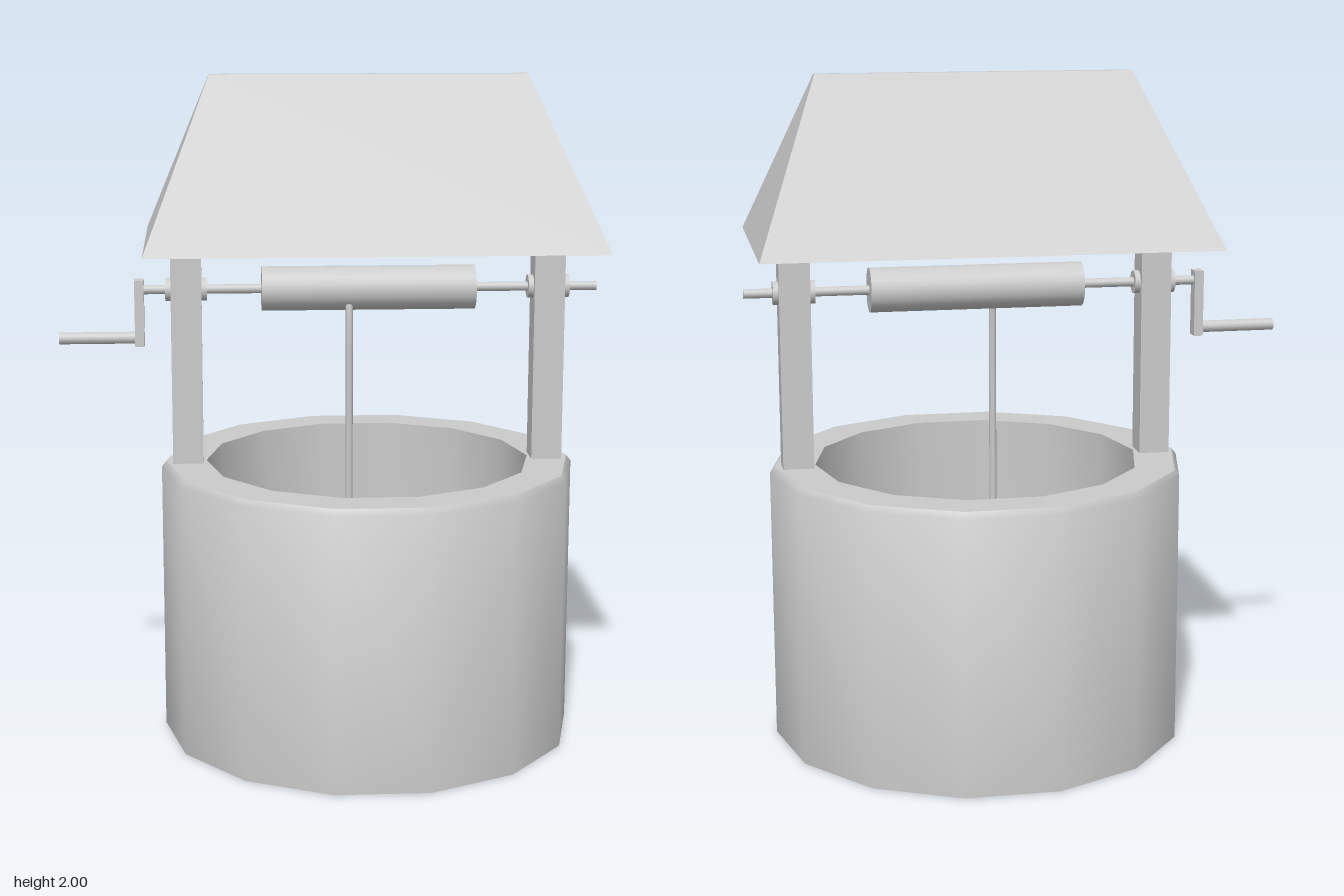
import * as THREE from 'three';
import { toCreasedNormals } from 'three/addons/utils/BufferGeometryUtils.js';

const CX = 0.115; // centre line of the well
const AXLE_Y = 1.365;

const material = new THREE.MeshStandardMaterial({ color: 0xcccccc });
const flat = new THREE.MeshStandardMaterial({ color: 0xcccccc, flatShading: true, side: THREE.DoubleSide });
const open = new THREE.MeshStandardMaterial({ color: 0xcccccc, side: THREE.DoubleSide });

export function createModel() {
  const model = new THREE.Group();
  model.name = 'well';

  const add = (name, geometry, x = 0, y = 0, z = 0, mat = material) => {
    const mesh = new THREE.Mesh(geometry, mat);
    mesh.name = name;
    mesh.position.set(x, y, z);
    model.add(mesh);
    return mesh;
  };

  // Cylinder lying along x between two ends
  const rod = (name, x0, x1, y, radius, sides) =>
    add(name, new THREE.CylinderGeometry(radius, radius, x1 - x0, sides).rotateZ(Math.PI / 2), (x0 + x1) / 2, y);

  // Fourteen-sided wall: outer face, bevelled rim, inner face and floor
  const profile = [
    [0.626, 0], [0.626, 0.822], [0.612, 0.84], [0.49, 0.84], [0.49, 0.02], [0, 0.02],
  ].map(([r, y]) => new THREE.Vector2(r, y));
  const wall = new THREE.LatheGeometry(profile, 14, Math.PI / 2);
  add('wall', toCreasedNormals(wall, 0.85), CX, 0, 0, open);

  // Posts with a bearing collar on each side
  for (const [name, x] of [['rightPost', -0.43], ['leftPost', 0.658]]) {
    add(name, new THREE.BoxGeometry(0.092, 0.72, 0.09), x, 1.17);
    rod(name + 'Collar', x - 0.062, x + 0.062, AXLE_Y, 0.035, 16);
  }

  // Winding gear
  rod('axle', -0.57, 0.805, AXLE_Y, 0.014, 12);
  rod('drum', -0.205, 0.435, AXLE_Y, 0.067, 20);
  add('crankArm', new THREE.BoxGeometry(0.028, 0.2, 0.044), -0.57, 1.295);
  rod('crankHandle', -0.81, -0.565, 1.22, 0.018, 12);

  // Rope curving off the drum and hanging into the well
  const rope = new THREE.CatmullRomCurve3([
    [0.055, 1.335, 0.03], [0.055, 1.325, 0.045], [0.055, 1.29, 0.051], [0.055, 0.7, 0.051], [0.055, 0.1, 0.051],
  ].map((p) => new THREE.Vector3(...p)), false, 'centripetal');
  add('rope', new THREE.TubeGeometry(rope, 40, 0.011, 8), 0, 0, 0, open);

  // Hollow hipped roof: rectangles joined in order from outer ridge to inner ridge
  const rings = [
    // y, half length, half depth
    [2.0, 0.47, 0], [2.0, 0.47, 0.014], [1.51, 0.665, 0.373],
    [1.51, 0.495, 0.225], [1.795, 0.38, 0.008], [1.795, 0.38, 0],
  ];
  const corners = [[-1, 1], [1, 1], [1, -1], [-1, -1]];
  const points = rings.flatMap(([y, l, d]) => corners.flatMap(([sx, sz]) => [sx * l, y, sz * d]));
  const index = [];
  for (let r = 0; r < rings.length - 1; r++) {
    for (let i = 0; i < 4; i++) {
      const a = r * 4 + i, b = r * 4 + (i + 1) % 4;
      index.push(a, a + 4, b + 4, a, b + 4, b);
    }
  }
  const roof = new THREE.BufferGeometry();
  roof.setAttribute('position', new THREE.Float32BufferAttribute(points, 3));
  roof.setIndex(index);
  const roofGeometry = roof.toNonIndexed();
  roofGeometry.computeVertexNormals();
  add('roof', roofGeometry, CX, 0, 0, flat);

  return model;
}
